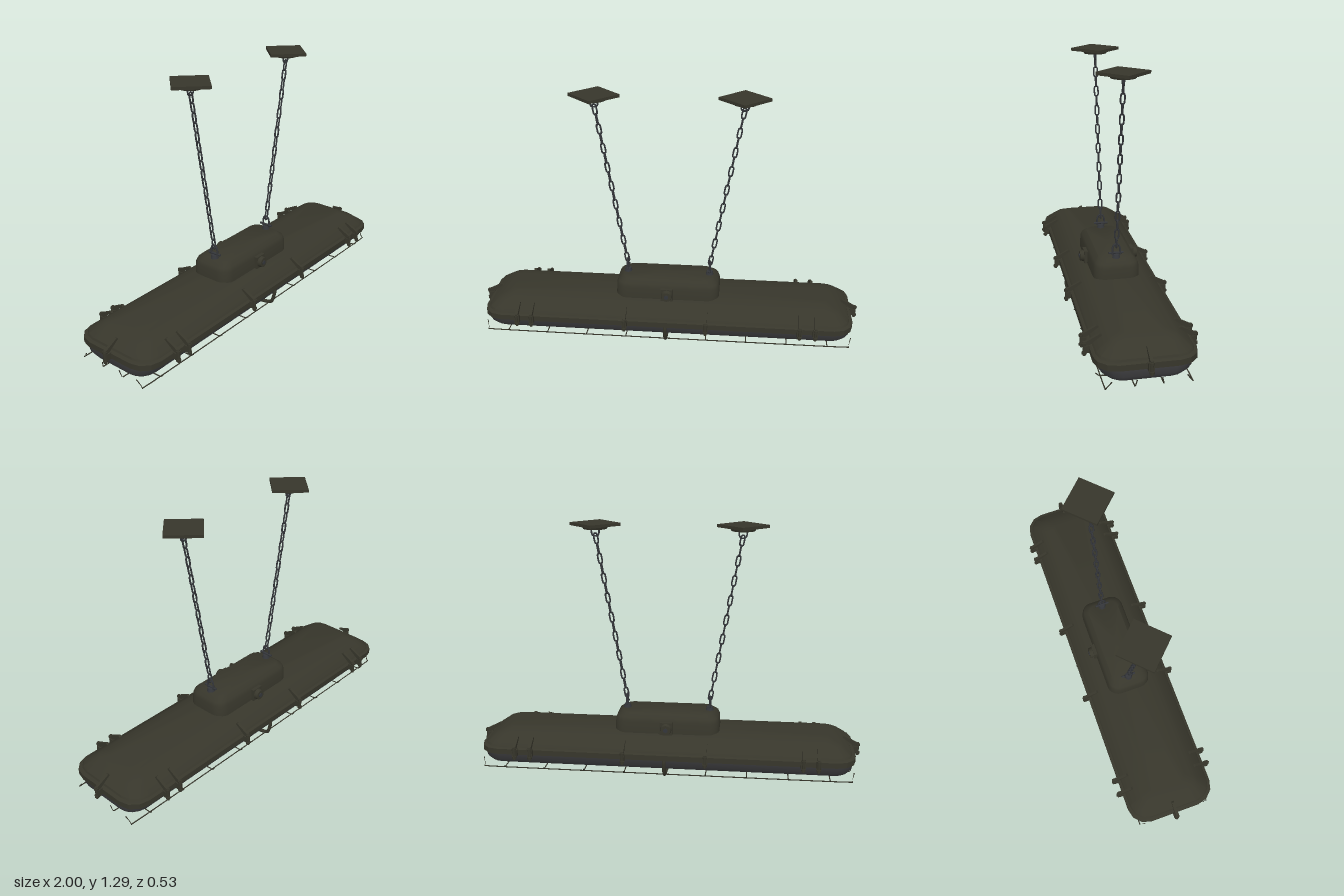
import * as THREE from 'three';
import { toCreasedNormals } from 'three/addons/utils/BufferGeometryUtils.js';

const mat = (name, color) => Object.assign(new THREE.MeshStandardMaterial({ color }), { name });

// Stack of rounded rectangles [y, halfX, halfZ, cornerRadius], capped at both ends
function loft(rows, seg = 4, crease = 0.5) {
  const pos = [], idx = [], n = 4 * (seg + 1);
  for (const [y, hx, hz, r] of rows) {
    for (let q = 0; q < 4; q++) {
      const sx = q === 0 || q === 3 ? 1 : -1, sz = q < 2 ? 1 : -1;
      for (let i = 0; i <= seg; i++) {
        const a = (q + i / seg) * Math.PI / 2;
        pos.push(sx * (hx - r) + r * Math.cos(a), y, sz * (hz - r) + r * Math.sin(a));
      }
    }
  }
  const last = rows.length - 1, bottom = rows.length * n, top = bottom + 1;
  pos.push(0, rows[0][0], 0, 0, rows[last][0], 0);
  for (let j = 0; j < n; j++) {
    const k = (j + 1) % n;
    for (let i = 0; i < last; i++) {
      const a = i * n + j, c = i * n + k;
      idx.push(a, a + n, c, c, a + n, c + n);
    }
    idx.push(bottom, j, k, top, last * n + k, last * n + j);
  }
  const g = new THREE.BufferGeometry();
  g.setAttribute('position', new THREE.Float32BufferAttribute(pos, 3));
  g.setIndex(idx);
  return toCreasedNormals(g, crease);
}

// Round rod through points
function rod(points, radius, steps = 1, closed = false, sides = 6) {
  const curve = new THREE.CatmullRomCurve3(points.map(p => new THREE.Vector3(...p)), closed, 'catmullrom', 0.3);
  return new THREE.TubeGeometry(curve, steps, radius, sides, closed);
}

export function createModel() {
  const root = new THREE.Group();
  root.name = 'hangingLamp';
  const paint = mat('olivePaint', 0x37362b);
  const glass = mat('smokedGlass', 0x424244);
  const steel = mat('darkSteel', 0x34363a);
  const add = (name, geometry, material, parent = root, x = 0, y = 0, z = 0) => {
    const m = new THREE.Mesh(geometry, material);
    m.name = name;
    m.position.set(x, y, z);
    parent.add(m);
    return m;
  };

  // Body: cover glass, rim and sloped housing
  add('coverGlass', loft([
    [0.043, 0.86, 0.10, 0.05], [0.047, 0.91, 0.15, 0.07], [0.06, 0.935, 0.18, 0.08],
    [0.085, 0.952, 0.205, 0.09], [0.125, 0.958, 0.218, 0.09],
  ], 4, 0.9), glass);
  add('rim', loft([
    [0.12, 0.955, 0.222, 0.1], [0.124, 0.966, 0.234, 0.1],
    [0.152, 0.966, 0.234, 0.1], [0.158, 0.955, 0.225, 0.1],
  ], 3), paint);
  add('housing', loft([
    [0.155, 0.95, 0.222, 0.09], [0.168, 0.945, 0.215, 0.09], [0.205, 0.895, 0.165, 0.06],
    [0.214, 0.87, 0.15, 0.05], [0.23, 0.83, 0.1, 0.03],
  ], 3), paint);

  // Junction box on top with a round gland on each long side
  add('junctionBox', loft([
    [0.215, 0.272, 0.118, 0.06], [0.285, 0.27, 0.115, 0.06],
    [0.305, 0.262, 0.107, 0.055], [0.325, 0.235, 0.085, 0.05],
  ], 5, 0.7), paint);
  for (const s of [1, -1]) {
    const gland = new THREE.Group();
    gland.name = 'sideGland';
    if (s < 0) gland.rotation.y = Math.PI;
    root.add(gland);
    add('glandBase', new THREE.BoxGeometry(0.064, 0.066, 0.02), paint, gland, 0, 0.256, 0.122);
    add('glandBody', new THREE.CylinderGeometry(0.026, 0.032, 0.03, 14).rotateX(Math.PI / 2), paint, gland, 0, 0.256, 0.137);
    add('glandCap', new THREE.CylinderGeometry(0.012, 0.012, 0.012, 6).rotateX(Math.PI / 2), steel, gland, 0, 0.256, 0.15);
  }

  // Clamps around the rim: sloped lever, jaw and vertical screw
  const lever = new THREE.Shape([
    [0.0, 0.155], [0.025, 0.155], [0.025, 0.168], [-0.05, 0.207], [-0.06, 0.2],
  ].map(p => new THREE.Vector2(...p)));
  const leverGeo = new THREE.ExtrudeGeometry(lever, { depth: 0.014, bevelEnabled: false });
  leverGeo.translate(0, 0, -0.007).rotateY(-Math.PI / 2);
  const clamp = (x, z, turn) => {
    const g = new THREE.Group();
    g.name = 'rimClamp';
    g.position.set(x, 0, z);
    g.rotation.y = turn;
    root.add(g);
    add('clampLever', leverGeo, paint, g);
    add('clampJaw', new THREE.BoxGeometry(0.026, 0.034, 0.028), paint, g, 0, 0.139, 0.006);
    add('clampScrew', new THREE.CylinderGeometry(0.007, 0.007, 0.068, 8), paint, g, 0, 0.139, 0.02);
    for (const y of [0.118, 0.162])
      add('clampNut', new THREE.CylinderGeometry(0.012, 0.012, 0.011, 6), paint, g, 0, y, 0.02);
  };
  for (const x of [-0.775, -0.7, -0.21, 0.21, 0.69, 0.77]) {
    clamp(x, 0.235, 0);
    clamp(x, -0.235, Math.PI);
  }
  clamp(0.97, 0, Math.PI / 2);
  clamp(-0.97, 0, -Math.PI / 2);

  // Guard cage: long wires, short rungs and one thick strap in the middle
  for (const z of [-0.195, -0.065, 0.065, 0.195])
    add('guardWire', rod([[-0.96, 0.075, z * 0.85], [-0.94, 0.045, z * 0.95], [-0.88, 0.036, z],
      [0.88, 0.036, z], [0.94, 0.045, z * 0.95], [0.96, 0.075, z * 0.85]], 0.003, 40, false, 5), paint);
  for (let i = -4; i <= 4; i++) {
    if (i === 0) continue;
    add('guardRung', rod([[i * 0.21, 0.055, -0.218], [i * 0.21, 0.038, -0.19],
      [i * 0.21, 0.038, 0.19], [i * 0.21, 0.055, 0.218]], 0.003, 16, false, 5), paint);
  }
  add('guardStrap', rod([[0, 0.14, -0.22], [0, 0.105, -0.226], [0, 0.055, -0.213], [0, 0.032, -0.185],
    [0, 0.01, 0], [0, 0.032, 0.185], [0, 0.055, 0.213], [0, 0.105, 0.226], [0, 0.14, 0.22]],
  0.0095, 48, false, 8), paint);

  // Suspension: shackle, chain, hook and ceiling plate on each side
  const w = 0.0095, h = 0.026;
  const linkGeo = rod([[w, h * 0.6, 0], [w * 0.6, h, 0], [-w * 0.6, h, 0], [-w, h * 0.6, 0],
    [-w, -h * 0.6, 0], [-w * 0.6, -h, 0], [w * 0.6, -h, 0], [w, -h * 0.6, 0]], 0.0045, 20, true, 6);
  for (const s of [1, -1]) {
    const side = new THREE.Group();
    side.name = s > 0 ? 'leftSuspension' : 'rightSuspension';
    root.add(side);
    add('shackleFoot', new THREE.CylinderGeometry(0.016, 0.022, 0.022, 10), steel, side, s * 0.217, 0.332, 0);
    add('shacklePin', new THREE.CylinderGeometry(0.006, 0.006, 0.075, 8).rotateX(Math.PI / 2), steel, side, s * 0.217, 0.35, 0);
    add('shackle', rod([[0, 0.34, -0.02], [0, 0.375, -0.019], [0, 0.395, -0.01], [0, 0.395, 0.01],
      [0, 0.375, 0.019], [0, 0.34, 0.02]], 0.005, 20), steel, side, s * 0.219, 0, 0);

    const chain = new THREE.Group();
    chain.name = 'chain';
    const from = new THREE.Vector3(s * 0.222, 0.405, 0), to = new THREE.Vector3(s * 0.366, 1.215, 0);
    chain.position.copy(from);
    chain.quaternion.setFromUnitVectors(new THREE.Vector3(0, 1, 0), to.clone().sub(from).normalize());
    side.add(chain);
    const count = 17, pitch = from.distanceTo(to) / (count - 1);
    for (let i = 0; i < count; i++)
      add('chainLink', linkGeo, steel, chain, 0, i * pitch, 0).rotation.y = i % 2 ? Math.PI / 2 : 0;

    add('ceilingHook', rod([[-0.021, 1.27, 0], [-0.018, 1.238, 0], [-0.009, 1.228, 0],
      [0.009, 1.228, 0], [0.018, 1.238, 0], [0.021, 1.27, 0]], 0.0045, 20), steel, side, s * 0.369, 0, 0);
    add('ceilingBoss', new THREE.CylinderGeometry(0.067, 0.06, 0.016, 20), paint, side, s * 0.369, 1.272, 0);
    add('ceilingPlate', new THREE.BoxGeometry(0.182, 0.015, 0.182), paint, side, s * 0.369, 1.287, 0).rotation.y = Math.PI / 4;
  }
  return root;
}
